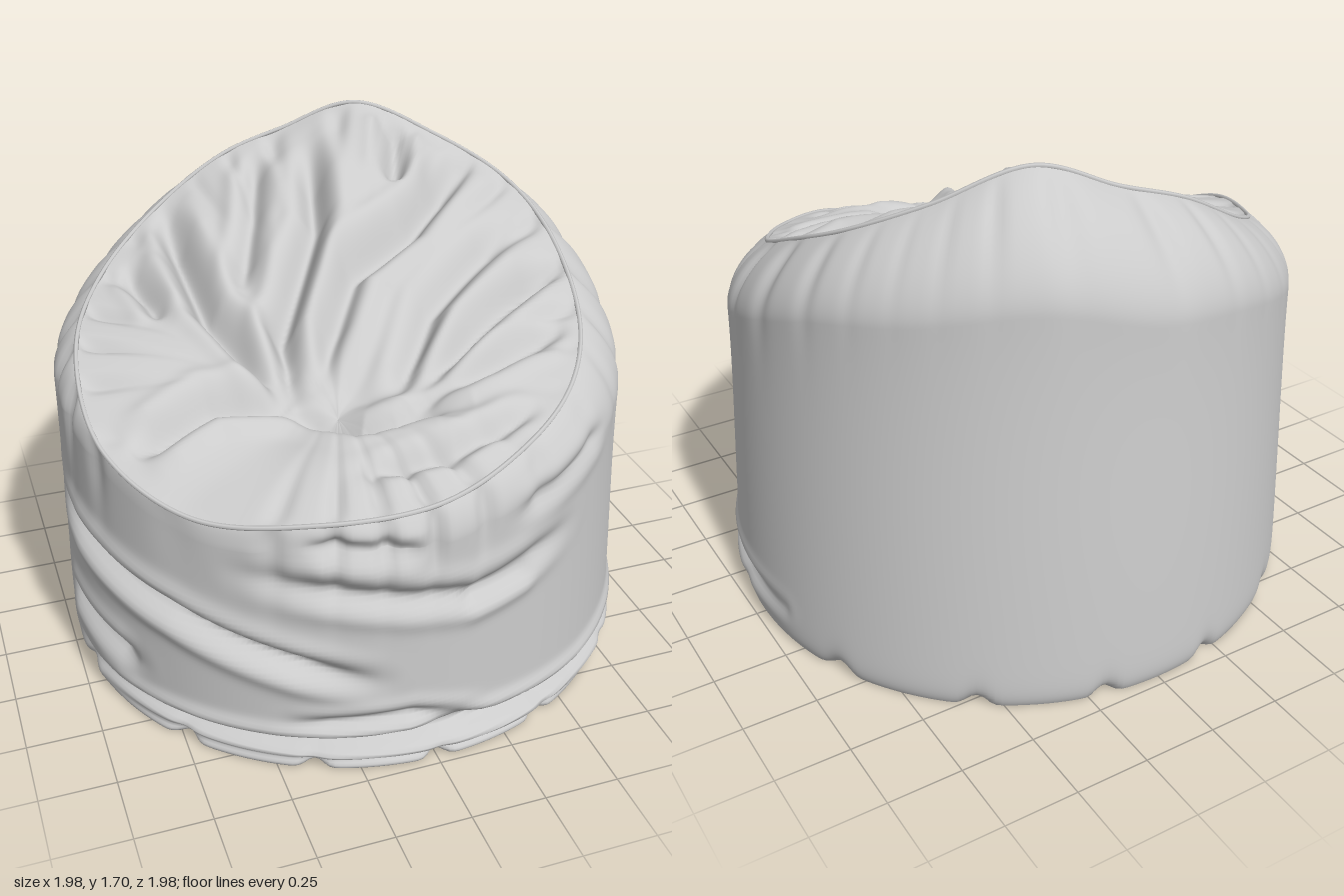
import * as THREE from 'three';

const COLS = 360;
const { sin, cos, exp, hypot, PI } = Math;

// Seam around the seat [x, z, height], starting at the front and running towards +x
const SEAM = [
  [0, 0.93, 0.95], [0.3, 0.85, 1.04], [0.55, 0.65, 1.11], [0.71, 0.37, 1.2], [0.76, 0, 1.36],
  [0.7, -0.25, 1.47], [0.52, -0.44, 1.58], [0.25, -0.57, 1.69], [0, -0.64, 1.6], [-0.23, -0.65, 1.52],
  [-0.5, -0.58, 1.37], [-0.75, -0.35, 1.24], [-0.9, 0, 1.15], [-0.9, 0.37, 0.99], [-0.7, 0.68, 0.89],
  [-0.38, 0.88, 0.92],
];
const seam = new THREE.CatmullRomCurve3(SEAM.map(([x, z, y]) => new THREE.Vector3(x, y, z)), true);

// Folds in the seat: depth, width, then points in x, z
const SEAT_FOLDS = [
  [0.09, 0.04, [-0.48, -0.58], [-0.45, -0.05], [-0.3, 0.36]],
  [0.05, 0.035, [-0.12, -0.58], [-0.2, -0.35], [-0.32, -0.08]],
  [0.08, 0.04, [0.06, -0.52], [-0.02, -0.2], [-0.24, 0.1], [-0.27, 0.36]],
  [0.06, 0.035, [0.38, -0.5], [0.28, -0.24]],
  [0.08, 0.04, [0.62, -0.36], [0.28, -0.09], [0.04, 0.02], [-0.18, 0.3]],
  [0.06, 0.04, [0.66, -0.05], [0.25, 0.2], [0.02, 0.48]],
  [0.06, 0.035, [0.72, 0.15], [0.38, 0.32], [0.05, 0.52]],
  [0.05, 0.035, [0.66, 0.4], [0.32, 0.5], [0, 0.56]],
  [0.07, 0.04, [-0.82, 0.43], [-0.55, 0.34], [-0.28, 0.37]],
  [0.06, 0.04, [-0.3, 0.36], [-0.12, 0.55], [0.22, 0.63]],
  [0.04, 0.03, [-0.2, 0.76], [0.1, 0.79], [0.42, 0.72]],
  [0.04, 0.03, [-0.66, -0.36], [-0.6, -0.05]],
];
// Folds in the side: depth, width, then points in angle, height
const SIDE_FOLDS = [
  [0.055, 0.035, [-1.65, 0.64], [-0.9, 0.52], [-0.2, 0.35]],
  [0.04, 0.035, [-1.6, 0.27], [-1.05, 0.24]],
  [0.03, 0.025, [-0.5, 0.18], [-0.1, 0.21], [0.15, 0.15]],
  [0.035, 0.035, [-0.65, 0.74], [-0.1, 0.65], [0.1, 0.63], [0.5, 0.72]],
  [0.02, 0.025, [0.05, 0.6], [0.35, 0.64]],
  [0.025, 0.03, [-0.45, 0.86], [-0.05, 0.82]],
  [0.02, 0.03, [0.25, 0.86], [0.75, 0.97]],
  [0.055, 0.025, [-1.6, 0.07], [-0.5, 0.1], [0, 0.13], [0.6, 0.1], [1.75, 0.13]],
  [0.025, 0.015, [-1.3, 0.03], [-0.2, 0.04], [0.8, 0.035]],
];

// Depth of the folds at a point: a valley with a soft swell beside it, fading at both ends
function folds(list, px, py) {
  let sum = 0;
  for (const [depth, width, ...pts] of list) {
    let best = 9, along = 0;
    const n = pts.length - 1;
    for (let i = 0; i < n; i++) {
      const [ax, ay] = pts[i], dx = pts[i + 1][0] - ax, dy = pts[i + 1][1] - ay;
      const t = THREE.MathUtils.clamp(((px - ax) * dx + (py - ay) * dy) / (dx * dx + dy * dy), 0, 1);
      const d = hypot(px - ax - dx * t, py - ay - dy * t);
      if (d < best) { best = d; along = (i + t) / n; }
    }
    const fade = Math.min(1, 5 * along + 0.1, 5 * (1 - along) + 0.1), q = best / width;
    sum += depth * fade * (0.3 * exp(-((q - 2.2) ** 2)) - exp(-q * q));
  }
  return Math.max(sum, -0.1);
}

// Small tucks gathered along the seam, zero on the seam itself
const tucks = (a, d) => {
  const t = Math.abs(cos(14 * a + 1.1 * sin(3 * a) + 0.8 * sin(5 * a + 1))) ** 7;
  return -0.03 * t * (0.6 + 0.4 * sin(4 * a + 2)) * (d / 0.07) * exp(1 - d / 0.07);
};

// Closed ring surface: f(column, s) gives a point, s runs 0 to 1 over the rows
function ringSurface(name, rows, f) {
  const pos = [], index = [];
  for (let j = 0; j <= rows; j++)
    for (let i = 0; i < COLS; i++) pos.push(...f(columns[i], j / rows));
  for (let j = 0; j < rows; j++)
    for (let i = 0; i < COLS; i++) {
      const a = j * COLS + i, b = j * COLS + ((i + 1) % COLS);
      index.push(a, b, b + COLS, a, b + COLS, a + COLS);
    }
  const g = new THREE.BufferGeometry();
  g.setAttribute('position', new THREE.Float32BufferAttribute(pos, 3));
  g.setIndex(index);
  g.computeVertexNormals();
  const mesh = new THREE.Mesh(g, new THREE.MeshStandardMaterial({ color: 0xcccccc, roughness: 0.9 }));
  mesh.name = name;
  return mesh;
}

const columns = Array.from({ length: COLS }, (_, i) => {
  const p = seam.getPoint(i / COLS);
  return { p, a: Math.atan2(p.x, p.z), r: hypot(p.x, p.z) };
});

// Side wall: tucked foot, leaning wall, then a rounded shoulder up to the seam
function sidePoint({ p, a, r }, s) {
  const lean = 0.03 + 0.03 * cos(a - 2.44);
  const wall = (y) => 0.985 - lean * y;
  const top = wall(p.y - 0.2);
  const drop = Math.min(0.4, 1.05 * Math.max(top - r, 0) + 0.06);
  const shoulder = p.y - drop;
  let y, rad;
  if (s < 0.7) {
    y = shoulder * (s / 0.7) ** 1.3;
    rad = THREE.MathUtils.lerp(wall(y), top, (s / 0.7) ** 4);
  } else {
    const f = ((s - 0.7) / 0.3) * PI / 2;
    rad = r + (top - r) * cos(f);
    y = shoulder + drop * (0.65 * sin(f) + 0.35 * (1 - cos(f)));
  }
  const notch = Math.abs(cos(6.5 * a + 0.6 * sin(2 * a))) ** 30;
  rad -= (0.02 + 0.06 * notch) * exp(-y / 0.03);
  const fade = Math.min(1, (p.y - y) / 0.06);
  rad += folds(SIDE_FOLDS, a, y) * fade + tucks(a, p.y - y);
  return [rad * sin(a), y, rad * cos(a)];
}

// Seat: sinks from the seam to a hollow near the front
const HOLLOW = new THREE.Vector3(-0.15, 0.97, 0.42);
function seatPoint({ p, a }, s) {
  const t = 1 - s;
  const x = HOLLOW.x + (p.x - HOLLOW.x) * t, z = HOLLOW.z + (p.z - HOLLOW.z) * t;
  const d = s * hypot(p.x - HOLLOW.x, p.z - HOLLOW.z);
  const swell = 0.07 * sin(PI * t);
  const y = HOLLOW.y + (p.y - HOLLOW.y) * t + swell + folds(SEAT_FOLDS, x, z) * Math.min(1, d / 0.08) + tucks(a, d);
  return [x, y, z];
}

export function createModel() {
  const group = new THREE.Group();
  group.name = 'beanbagChair';
  group.add(ringSurface('sideCover', 90, sidePoint));
  group.add(ringSurface('seatCover', 70, seatPoint));

  // Flat base following the tucked foot
  group.add(ringSurface('base', 2, (c, s) => {
    const [x, , z] = sidePoint(c, 0);
    return [x * s, 0, z * s];
  }));

  // Thin stitched seam
  const piping = new THREE.Mesh(
    new THREE.TubeGeometry(seam, 240, 0.008, 6, true),
    new THREE.MeshStandardMaterial({ color: 0xcccccc, roughness: 0.9 }),
  );
  piping.name = 'seamPiping';
  group.add(piping);
  return group;
}
